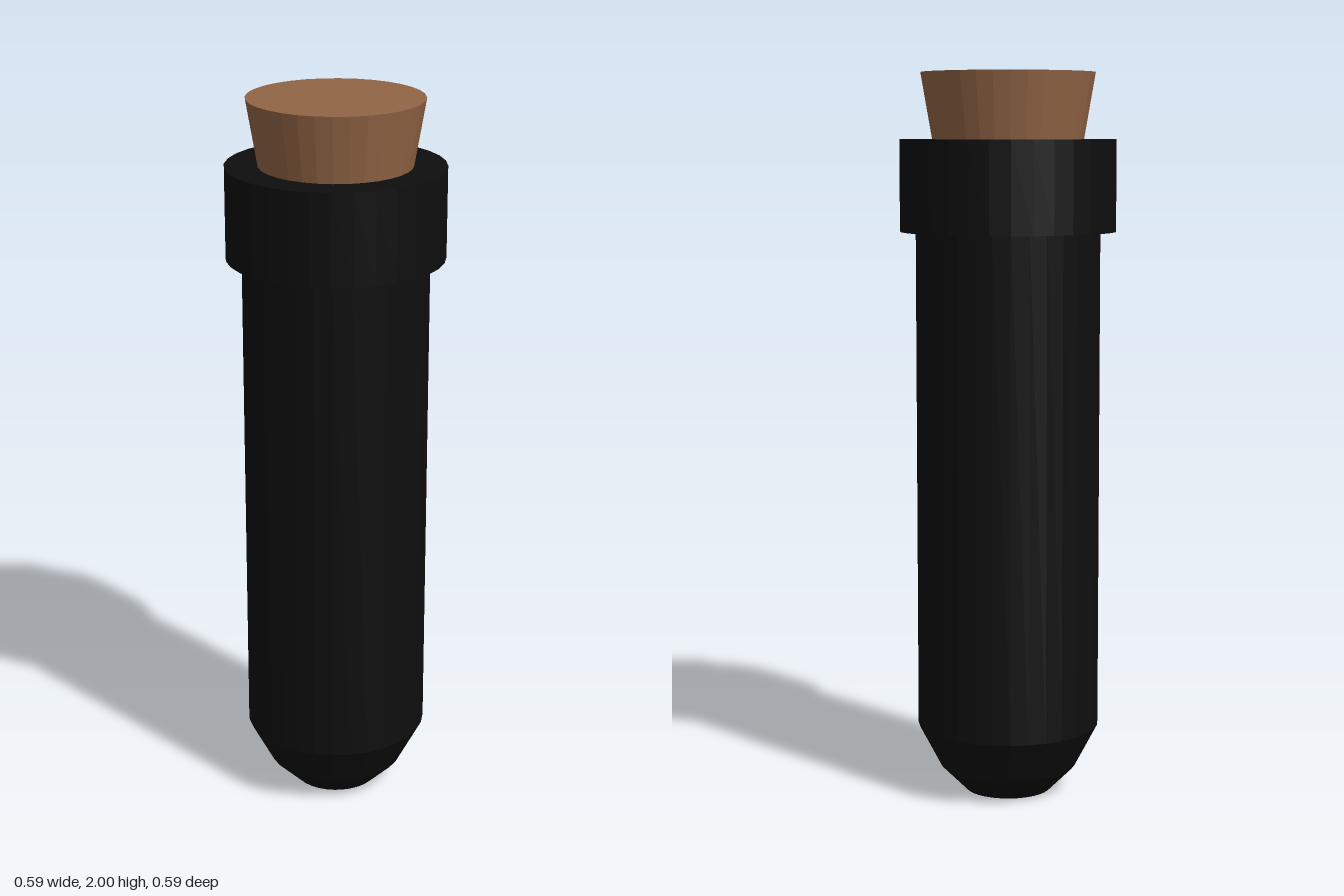
import * as THREE from 'three';

const SIDES = 32;

// Flat-shaded solid of revolution from [radius, height] points, bottom to top
function turned(name, profile, material) {
  const points = profile.map(([r, y]) => new THREE.Vector2(r, y));
  const mesh = new THREE.Mesh(new THREE.LatheGeometry(points, SIDES), material);
  mesh.name = name;
  return mesh;
}

export function createModel() {
  const group = new THREE.Group();
  group.name = 'corkedTube';

  const glass = new THREE.MeshStandardMaterial({ color: 0x0e0e0e, flatShading: true });
  const cork = new THREE.MeshStandardMaterial({ color: 0x926545, flatShading: true });

  // Tube with a chamfered, flat-bottomed end
  group.add(turned('tubeBody', [
    [0, 0], [0.12, 0], [0.19, 0.07], [0.253, 0.19], [0.253, 1.6],
  ], glass));

  // Collar around the mouth, open in the middle for the stopper
  group.add(turned('collar', [
    [0.2, 1.57], [0.296, 1.57], [0.296, 1.82], [0.2, 1.82],
  ], glass));

  // Tapered stopper, wider at the top
  group.add(turned('corkStopper', [
    [0, 1.64], [0.176, 1.64], [0.238, 2], [0, 2],
  ], cork));

  return group;
}
